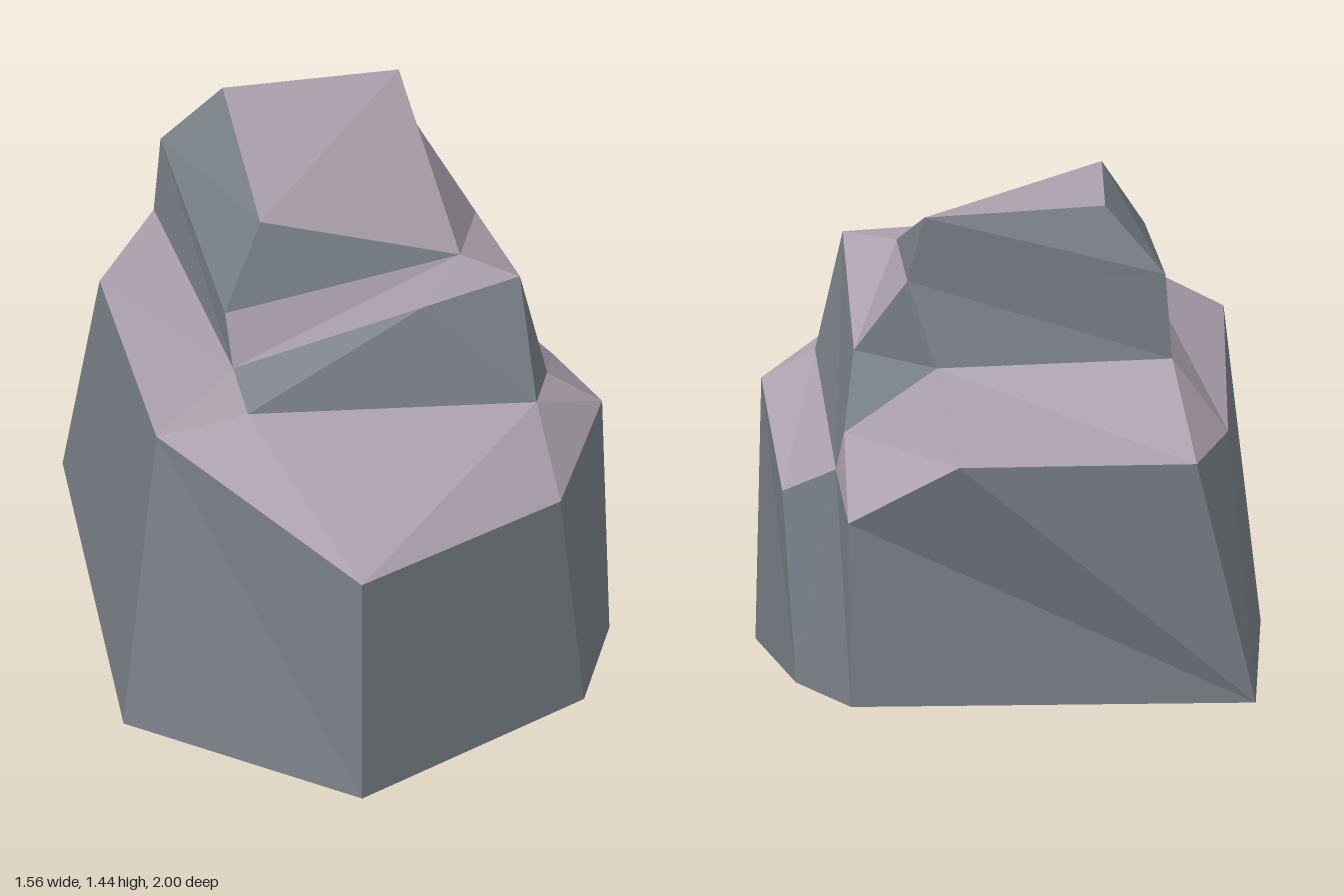
import * as THREE from 'three';

// Corner points of each level of the boulder: [x, y, z]
const foot = {
  a0: [-0.78, 0, -0.78], b0: [0.39, 0, -0.97], c0: [0.59, 0, -0.58], d0: [0.78, 0, 0.14],
  e0: [0.69, 0, 0.51], f0: [0.02, 0, 1.0], g0: [-0.66, 0, 0.58],
};
const rim = {
  a1: [-0.61, 0.71, -0.81], a2: [-0.68, 0.77, -0.59], g1: [-0.56, 0.95, 0.49],
  f1: [0.02, 0.74, 0.98], e1: [0.62, 0.72, 0.54], d1: [0.76, 0.78, 0.11],
  c1: [0.64, 0.55, -0.48], c2: [0.47, 0.64, -0.61], b1: [0.40, 0.54, -0.95], b2: [0.07, 0.72, -1.0],
};
const middle = {
  p1: [-0.29, 0.98, 0.43], p2: [0.56, 0.91, 0.30], p3: [0.60, 0.87, 0.09],
  p4: [0.44, 0.76, -0.67], p5: [0.16, 0.97, -0.75], p6: [-0.52, 0.99, -0.63],
};
const shelf = {
  l: [-0.33, 1.09, 0.35], k: [-0.35, 1.23, 0.27], m: [0.23, 1.22, 0.25], n: [0.52, 1.22, 0.10],
  r: [0.35, 1.22, -0.02], h: [0.42, 0.99, -0.58], w: [0.25, 1.22, -0.71], s: [-0.50, 1.24, -0.63],
};
const crown = {
  t1: [-0.24, 1.44, 0.11], t2: [-0.32, 1.435, -0.60], t3: [0.20, 1.41, -0.71],
};
const points = { ...foot, ...rim, ...middle, ...shelf, ...crown };
const centre = new THREE.Vector3(0, 0.6, -0.1);

// Fans each facet from its first corner and turns every triangle outward
function facets(list) {
  const pos = [];
  for (const facet of list) {
    const v = facet.split(' ').map((key) => new THREE.Vector3(...points[key]));
    for (let i = 1; i < v.length - 1; i++) {
      const tri = new THREE.Triangle(v[0], v[i], v[i + 1]);
      const normal = tri.getNormal(new THREE.Vector3());
      const outward = normal.dot(tri.getMidpoint(new THREE.Vector3()).sub(centre)) > 0;
      for (const p of outward ? [tri.a, tri.b, tri.c] : [tri.a, tri.c, tri.b]) pos.push(p.x, p.y, p.z);
    }
  }
  const geometry = new THREE.BufferGeometry();
  geometry.setAttribute('position', new THREE.Float32BufferAttribute(pos, 3));
  geometry.computeVertexNormals();
  return geometry;
}

export function createModel() {
  const slate = new THREE.MeshStandardMaterial({ color: 0x787f86 });
  slate.name = 'slateSide';
  const mauve = new THREE.MeshStandardMaterial({ color: 0xaa9fab });
  mauve.name = 'mauveTop';

  const group = new THREE.Group();
  group.name = 'boulder';
  const add = (name, material, list) => {
    const mesh = new THREE.Mesh(facets(list), material);
    mesh.name = name;
    group.add(mesh);
  };

  // Broad lower block
  add('underside', slate, ['a0 b0 c0 d0 e0 f0 g0']);
  add('baseWalls', slate, [
    'g1 g0 f0 f1', 'e1 f1 f0 e0', 'd1 e1 e0 d0', 'd1 d0 c0 c1', 'c1 c0 c2', 'c2 c0 b0 b1',
    'a0 a1 b2 b1 b0', 'a0 a1 a2', 'a2 a0 g0 g1',
  ]);
  // Sloping ledge around the middle block
  add('ledge', mauve, [
    'f1 g1 p1 p2', 'f1 p2 e1', 'p2 e1 d1', 'p2 d1 p3', 'p3 d1 c1', 'p3 c1 c2',
    'c2 p4 b1', 'p4 b1 b2', 'p4 b2 p5', 'p5 b2 a1 p6', 'p6 a1 a2', 'a2 p6 l g1', 'g1 l p1',
  ]);
  // Middle block
  add('middleWalls', slate, [
    'm l p1 p2 n', 'n p2 p3', 'n p3 c2 h', 'h c2 p4', 'h p4 p5 w', 'w p5 p6 s', 's p6 l k',
  ]);
  add('shelf', mauve, ['r k l m n h w']);
  // Crown
  add('crownWalls', slate, ['k r t1', 's k t1 t2', 's t2 t3 w', 'w t3 r']);
  add('crownTop', mauve, ['t1 r t3 t2']);
  return group;
}
